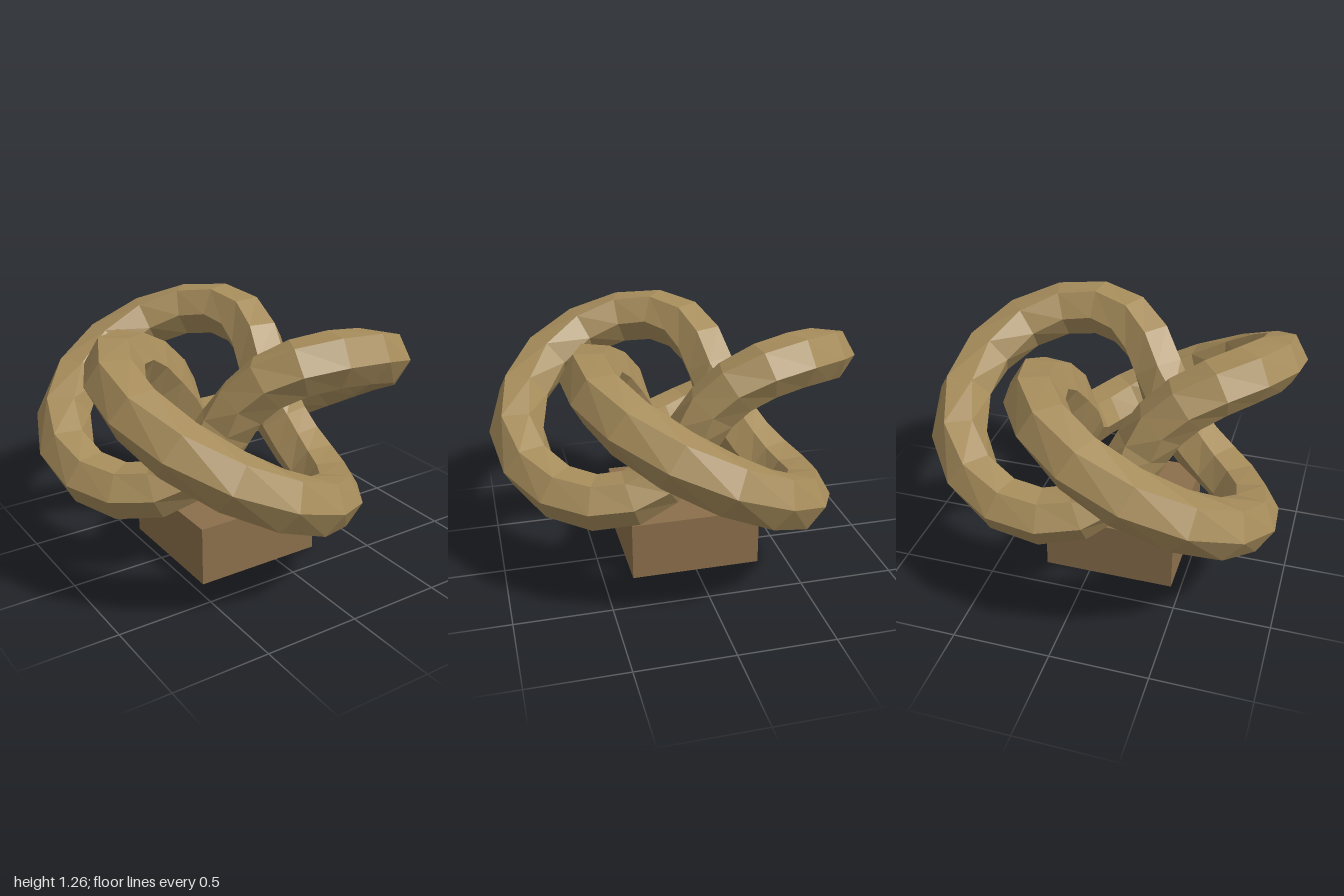
import * as THREE from 'three';

const SEGMENTS = 48, SIDES = 6, TUBE = 0.145;
const MEAN = 0.607, SWING = 0.304, RISE = 0.338;
const TURN = Math.PI * 2;

// Centre line of a trefoil: two turns round the y axis, three lobes
function knotPoint(u) {
  const rho = MEAN + SWING * Math.cos(1.5 * u);
  return new THREE.Vector3(rho * Math.cos(u), RISE * Math.sin(1.5 * u), rho * Math.sin(u));
}

// Closed hexagonal tube, each section keeping one pair of corners level
function knotGeometry() {
  const up = new THREE.Vector3(0, 1, 0);
  const positions = [], indices = [];
  for (let i = 0; i < SEGMENTS; i++) {
    const u = (i / SEGMENTS) * 2 * TURN;
    const tangent = knotPoint(u + 0.001).sub(knotPoint(u - 0.001)).normalize();
    const side = up.clone().cross(tangent).normalize();
    const lift = tangent.clone().cross(side);
    for (let j = 0; j < SIDES; j++) {
      const v = (j / SIDES) * TURN;
      const p = knotPoint(u)
        .addScaledVector(side, TUBE * Math.cos(v))
        .addScaledVector(lift, TUBE * Math.sin(v));
      positions.push(p.x, p.y, p.z);
      const i2 = (i + 1) % SEGMENTS, j2 = (j + 1) % SIDES;
      const a = i * SIDES + j, b = i * SIDES + j2;
      const c = i2 * SIDES + j2, d = i2 * SIDES + j;
      indices.push(a, b, c, a, c, d);
    }
  }
  const indexed = new THREE.BufferGeometry();
  indexed.setAttribute('position', new THREE.Float32BufferAttribute(positions, 3));
  indexed.setIndex(indices);
  const geometry = indexed.toNonIndexed();
  geometry.computeVertexNormals();
  return geometry;
}

export function createModel() {
  const brass = new THREE.MeshStandardMaterial({ name: 'pale bronze', color: 0xa68c5b, flatShading: true });
  const wood = new THREE.MeshStandardMaterial({ name: 'brown wood', color: 0x8b6f4b, flatShading: true });

  const model = new THREE.Group();
  model.name = 'knotSculpture';

  // Knot floating just above its plinth
  const knot = new THREE.Mesh(knotGeometry(), brass);
  knot.name = 'knot';
  knot.position.set(-0.105, 0.797, 0);

  // Square plinth
  const plinth = new THREE.Mesh(new THREE.BoxGeometry(0.69, 0.315, 0.69), wood);
  plinth.name = 'plinth';
  plinth.position.set(-0.105, 0.1575, 0);

  model.add(knot, plinth);
  return model;
}
